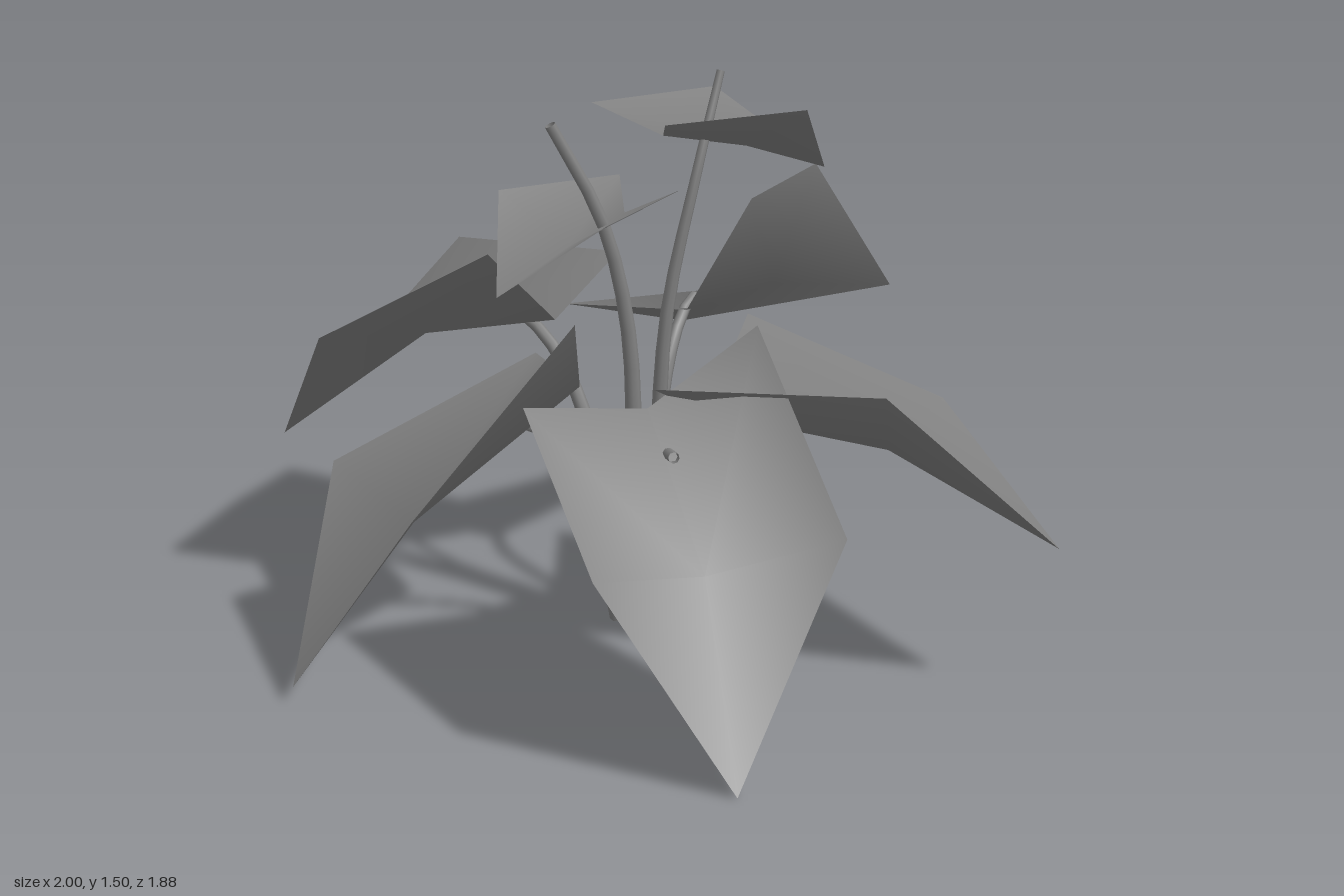
import * as THREE from 'three';

const material = new THREE.MeshStandardMaterial({ color: 0x808080, side: THREE.DoubleSide });
const vec = (p) => new THREE.Vector3(...p);

// Midrib depth and base offset, as fractions of the leaf's width
const DROOPING = { baseDepth: 0.25, baseShift: 0.05, midDepth: 0.23 };
const UPPER = { baseDepth: 0.17, baseShift: 0.25, midDepth: 0.28 };

// Point on the midrib: the middle of a leaf's row, sunk below its two edges.
function ribPoint(right, left, outward, depth, shift) {
  const across = left.clone().sub(right);
  const width = across.length();
  const up = outward.clone().cross(across).normalize();
  return right.clone().lerp(left, 0.5)
    .addScaledVector(up, -depth * width)
    .addScaledVector(outward.clone().normalize(), shift * width);
}

// Gutter-shaped leaf from its two base lobes, two widest points and tip.
function makeLeaf(name, form, lobeR, wideR, tip, wideL, lobeL) {
  const [lr, wr, t, wl, ll] = [lobeR, wideR, tip, wideL, lobeL].map(vec);
  const lobeMid = lr.clone().lerp(ll, 0.5);
  const wideMid = wr.clone().lerp(wl, 0.5);
  const base = ribPoint(lr, ll, wideMid.sub(lobeMid), form.baseDepth, form.baseShift);
  const mid = ribPoint(wr, wl, t.clone().sub(lobeMid), form.midDepth, 0);
  const geometry = new THREE.BufferGeometry().setFromPoints([base, mid, lr, wr, t, wl, ll]);
  geometry.setIndex([0, 2, 1, 2, 3, 1, 3, 4, 1, 1, 4, 5, 1, 5, 6, 1, 6, 0]);
  geometry.computeVertexNormals();
  const mesh = new THREE.Mesh(geometry, material);
  mesh.name = name;
  return mesh;
}

// Stem: a tube along a curve, slimmer towards the leaf.
function makeStem(name, points, endScale) {
  const curve = new THREE.CatmullRomCurve3(points.map(vec));
  const rings = 14, sides = 8;
  const geometry = new THREE.TubeGeometry(curve, rings, 0.026, sides);
  const position = geometry.attributes.position;
  const p = new THREE.Vector3();
  for (let i = 0; i <= rings; i++) {
    const centre = curve.getPointAt(i / rings);
    const scale = THREE.MathUtils.lerp(1, endScale, i / rings);
    for (let j = 0; j <= sides; j++) {
      const k = i * (sides + 1) + j;
      p.fromBufferAttribute(position, k).sub(centre).multiplyScalar(scale).add(centre);
      position.setXYZ(k, p.x, p.y, p.z);
    }
  }
  const mesh = new THREE.Mesh(geometry, material);
  mesh.name = name;
  return mesh;
}

// Low stem that rises steeply and arches out under its leaf.
function archedStem(name, [bx, bz], [x, y, z]) {
  const at = (out, up) => [bx + (x - bx) * out, 0.055 + (y - 0.055) * up, bz + (z - bz) * out];
  return makeStem(name, [at(0, 0), at(0.2, 0.5), at(0.5, 0.85), at(0.78, 0.98), at(1, 1.01)], 0.55);
}

export function createModel() {
  const plant = new THREE.Group();
  plant.name = 'leafyPlant';

  // Large drooping leaves
  plant.add(
    makeLeaf('frontLeaf', DROOPING, [-0.31, 0.78, 0.39], [-0.16, 0.51, 0.84], [0.17, 0, 0.935], [0.45, 0.53, 0.66], [0.27, 0.94, 0.265]),
    makeLeaf('leftLeaf', DROOPING, [0.01, 0.8, 0.33], [0.56, 0.82, 0.485], [1, 0.42, 0.485], [0.8, 0.62, -0.085], [0.3, 0.8, -0.28]),
    makeLeaf('backLeftLeaf', DROOPING, [0.29, 1.16, -0.12], [0.52, 1.12, -0.64], [0.785, 0.675, -0.94], [0.165, 0.605, -0.845], [-0.185, 0.79, -0.43]),
    makeLeaf('backRightLeaf', DROOPING, [-0.035, 0.91, -0.52], [-0.475, 0.88, -0.8], [-1, 0.275, -0.865], [-0.84, 0.77, -0.22], [-0.39, 1.07, 0.05]),
    makeLeaf('rightLeaf', DROOPING, [-0.27, 0.73, -0.19], [-0.8, 0.5, -0.02], [-0.895, 0.05, 0.385], [-0.58, 0.56, 0.57], [-0.18, 0.955, 0.285])
  );

  // Small upper leaves
  plant.add(
    makeLeaf('upperRightLeaf', UPPER, [-0.045, 1.2, -0.235], [-0.36, 1.205, -0.07], [-0.37, 1.01, 0.23], [-0.1, 1.2, 0.275], [0.09, 1.24, 0.09]),
    makeLeaf('upperLeftLeaf', UPPER, [0.045, 1.43, 0.2], [0.405, 1.435, 0.075], [0.485, 1.225, -0.185], [0.21, 1.41, -0.33], [-0.12, 1.41, -0.155])
  );

  // Arched stems under the large leaves
  plant.add(
    archedStem('frontStem', [-0.01, 0.02], [0.055, 0.645, 0.41]),
    archedStem('leftStem', [0.02, 0.01], [0.29, 0.66, 0.07]),
    archedStem('backLeftStem', [0.01, -0.06], [0.16, 0.83, -0.33]),
    archedStem('backRightStem', [-0.04, -0.05], [-0.36, 0.82, -0.33]),
    archedStem('rightStem', [-0.06, 0.01], [-0.36, 0.65, 0.14])
  );

  // Tall stems reaching through the upper leaves
  plant.add(
    makeStem('upperRightStem', [[-0.02, 0.055, 0], [-0.02, 0.5, 0], [-0.035, 0.85, 0], [-0.1, 1.14, 0.02], [-0.23, 1.4, 0.05]], 0.55),
    makeStem('upperLeftStem', [[0.02, 0.055, -0.02], [0.04, 0.5, -0.01], [0.065, 0.9, 0], [0.14, 1.25, -0.03], [0.205, 1.5, -0.1]], 0.4)
  );
  return plant;
}
